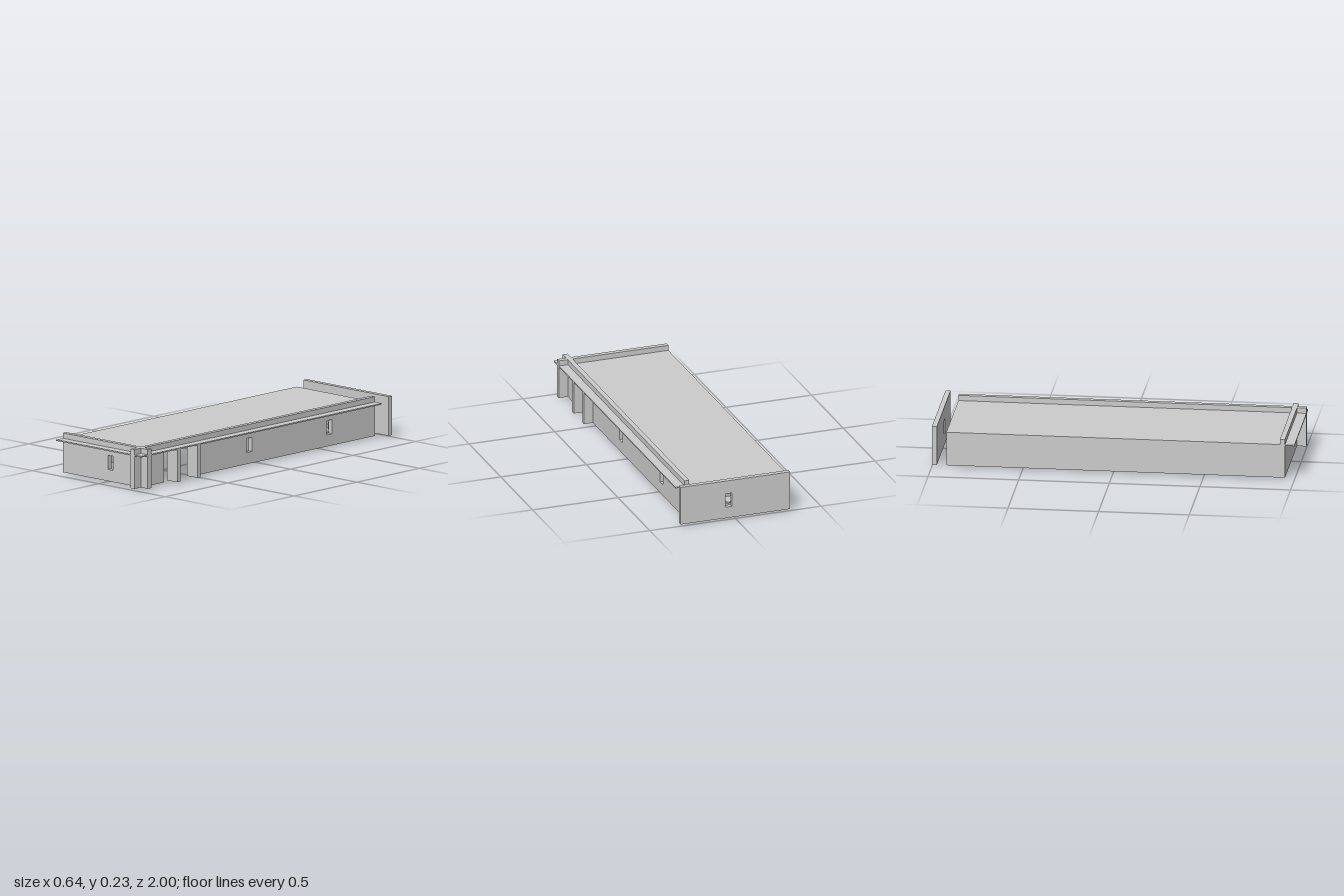
import * as THREE from 'three';

const material = new THREE.MeshStandardMaterial({ color: 0xcccccc, flatShading: true });
const FLOOR = 0.01, SOFFIT = 0.193, ROOF = 0.2, TOP = 0.23;
const SILL = 0.075, HEAD = 0.154, T = 0.028;

export function createModel() {
  const model = new THREE.Group();

  // Box given by its extents on each axis
  function block(name, [x0, x1], [y0, y1], [z0, z1]) {
    const mesh = new THREE.Mesh(new THREE.BoxGeometry(x1 - x0, y1 - y0, z1 - z0), material);
    mesh.position.set((x0 + x1) / 2, (y0 + y1) / 2, (z0 + z1) / 2);
    mesh.name = name;
    model.add(mesh);
    return mesh;
  }

  // Wall outline from a to b with window openings, extruded by T along +z
  function windowWall(name, a, b, top, windows) {
    const rect = (Type, x0, x1, y0, y1) => {
      const r = new Type();
      r.moveTo(x0, y0);
      r.lineTo(x1, y0);
      r.lineTo(x1, y1);
      r.lineTo(x0, y1);
      r.closePath();
      return r;
    };
    const shape = rect(THREE.Shape, a, b, FLOOR, top);
    for (const [w0, w1] of windows) shape.holes.push(rect(THREE.Path, w0, w1, SILL, HEAD));
    const geometry = new THREE.ExtrudeGeometry(shape, { depth: T, bevelEnabled: false });
    const mesh = new THREE.Mesh(geometry, material);
    mesh.name = name;
    model.add(mesh);
    return mesh;
  }

  // Roof slab and the crossing upstand beams
  block('roof', [-0.32, 0.32], [SOFFIT, ROOF], [-0.92, 1]);
  block('sideParapet', [0.24, 0.268], [SOFFIT, TOP], [-0.92, 1]);
  block('frontParapet', [-0.32, 0.32], [SOFFIT, TOP], [0.92, 0.948]);

  // Front wall, running out past the corner as a fin
  windowWall('frontWall', -0.32, 0.32, TOP, [[0.019, 0.059]]).position.z = 0.92;

  // Detached screen wall behind the house
  windowWall('backScreen', -0.32, 0.32, TOP, [[0.019, 0.059]]).position.z = -1;

  // Long wall with two windows; its local x runs towards -z
  const sideWall = windowWall('sideWall', -0.55, 0.92, SOFFIT, [[-0.104, -0.06], [0.535, 0.579]]);
  sideWall.rotation.y = Math.PI / 2;
  sideWall.position.x = 0.24;

  // Plain left wall, corner wall and corner fin
  block('leftWall', [-0.32, -0.292], [FLOOR, SOFFIT], [-0.92, 0.92]);
  block('cornerWall', [0.24, 0.268], [FLOOR, SOFFIT], [0.765, 0.92]);
  block('cornerFin', [0.24, 0.268], [FLOOR, SOFFIT], [0.948, 1]);

  // Short cross walls at the entrance
  for (const z of [0.685, 0.525]) {
    block('entranceFin', [0.24, 0.32], [FLOOR, SOFFIT], [z, z + 0.026]);
  }

  // Small furniture group at the open back end
  block('furnitureBase', [-0.08, 0], [0, 0.008], [-0.92, -0.84]);
  block('furnitureStem', [-0.044, -0.036], [0.008, 0.06], [-0.884, -0.876]);
  for (const [x0, x1] of [[0.05, 0.13], [-0.22, -0.14]]) {
    block('seat', [x0, x1], [0.045, 0.053], [-0.91, -0.83]);
    block('seatBack', [x0, x1], [0.053, 0.1], [-0.838, -0.83]);
    for (const x of [x0, x1 - 0.008]) {
      block('seatSide', [x, x + 0.008], [FLOOR, 0.045], [-0.9, -0.84]);
    }
  }
  block('tableTop', [-0.1, 0.02], [0.06, 0.068], [-0.92, -0.84]);

  return model;
}
